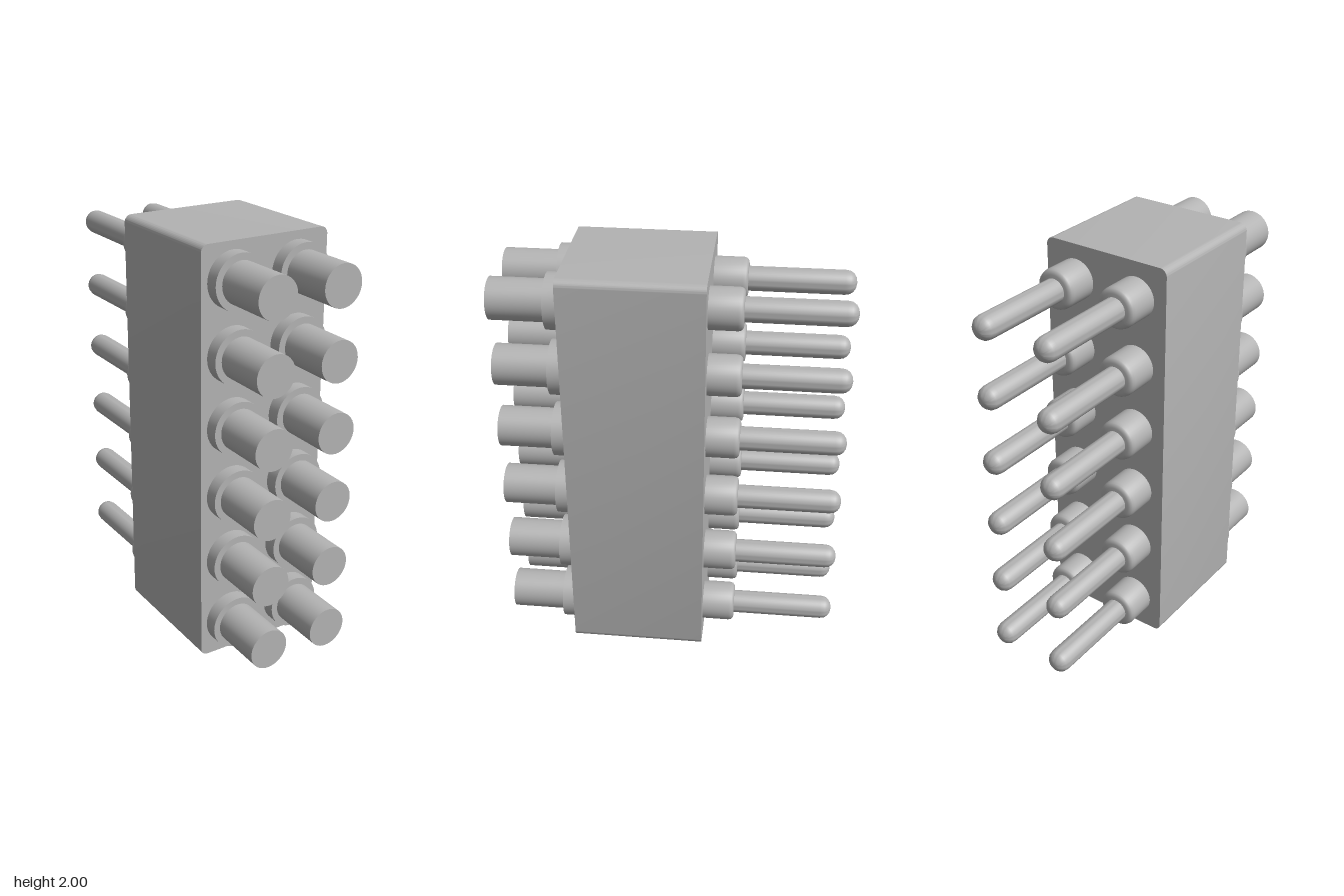
import * as THREE from 'three';
import { toCreasedNormals } from 'three/addons/utils/BufferGeometryUtils.js';

const HALF_W = 0.326, HEIGHT = 2, BACK = -0.163, FRONT = 0.49, CORNER = 0.035;

// Solid of revolution about z; points are [radius, z], listed from front to back.
function turned(points) {
  const profile = points.map(([r, z]) => new THREE.Vector2(r, -z));
  const geometry = new THREE.LatheGeometry(profile, 40).rotateX(-Math.PI / 2);
  return toCreasedNormals(geometry, 0.7);
}

// Block with its four long front-to-back edges rounded.
function blockGeometry() {
  const w = HALF_W, h = HEIGHT, r = CORNER;
  const s = new THREE.Shape();
  s.moveTo(-w + r, 0);
  s.lineTo(w - r, 0);
  s.absarc(w - r, r, r, -Math.PI / 2, 0);
  s.lineTo(w, h - r);
  s.absarc(w - r, h - r, r, 0, Math.PI / 2);
  s.lineTo(-w + r, h);
  s.absarc(-w + r, h - r, r, Math.PI / 2, Math.PI);
  s.lineTo(-w, r);
  s.absarc(-w + r, r, r, Math.PI, Math.PI * 1.5);
  const geometry = new THREE.ExtrudeGeometry(s, { depth: FRONT - BACK, bevelEnabled: false, curveSegments: 8 });
  return toCreasedNormals(geometry.translate(0, 0, BACK), 0.6);
}

export function createModel() {
  const model = new THREE.Group();
  model.name = 'pinConnector';
  const grey = new THREE.MeshStandardMaterial({ color: 0xb3b3b3 });
  grey.name = 'plain grey';

  const add = (parent, name, geometry) => {
    const mesh = new THREE.Mesh(geometry, grey);
    mesh.name = name;
    parent.add(mesh);
  };

  add(model, 'housingBlock', blockGeometry());

  // Front flange and barrel, rear collar with a rounded rim, and round-nosed pin
  const parts = {
    frontFlange: turned([[0, 0.555], [0.129, 0.555], [0.129, FRONT - 0.01]]),
    frontBarrel: turned([[0, 0.816], [0.097, 0.816], [0.097, 0.55]]),
    rearCollar: turned([[0.097, BACK + 0.01], [0.097, -0.295], [0.093, -0.309], [0.085, -0.317], [0.073, -0.32], [0, -0.32]]),
    rearPin: turned([[0.057, -0.31], [0.057, -0.762], [0.053, -0.784], [0.042, -0.8], [0.025, -0.811], [0, -0.816]]),
  };

  // Two columns of six contacts
  for (let row = 0; row < 6; row++) {
    for (const side of [-1, 1]) {
      const contact = new THREE.Group();
      contact.name = `${side > 0 ? 'left' : 'right'}Contact${row + 1}`;
      contact.position.set(side * 0.165 - 0.001, 0.17 + row * 0.3325, 0);
      for (const [name, geometry] of Object.entries(parts)) add(contact, name, geometry);
      model.add(contact);
    }
  }
  return model;
}
